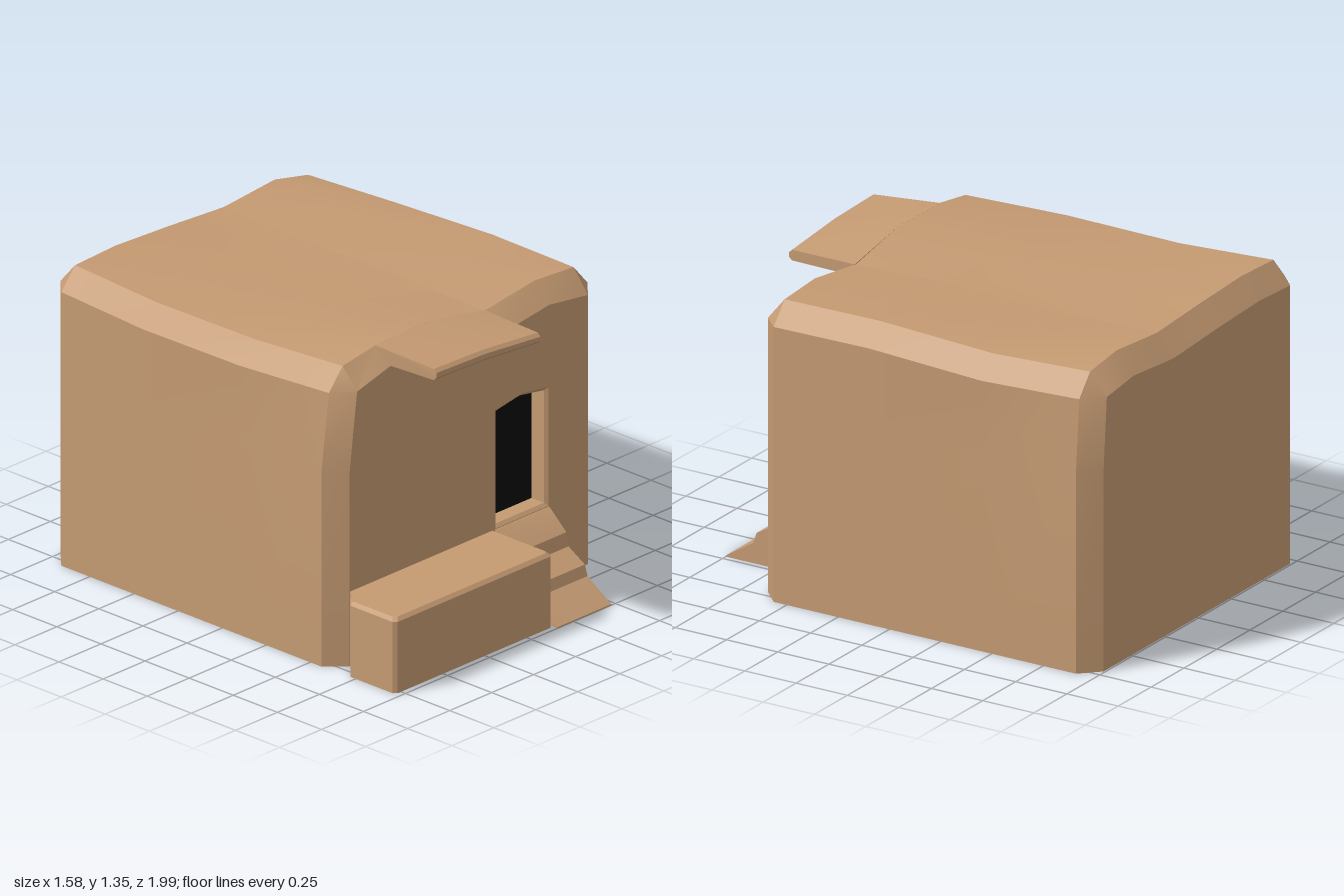
import * as THREE from 'three';
import { toCreasedNormals } from 'three/addons/utils/BufferGeometryUtils.js';

const clay = new THREE.MeshStandardMaterial({ color: 0xc49a72 });
clay.name = 'clay';
const dark = new THREE.MeshStandardMaterial({ color: 0x0b0b0b });
dark.name = 'doorway black';

const FRONT = 0.645, IN = 0.082, SPRING = 0.87;

// Collects triangles and drops collapsed ones
function triangleBag() {
  const pos = [];
  const tri = (a, b, c) => {
    const [A, B, C] = [a, b, c].map(p => new THREE.Vector3(...p));
    if (B.clone().sub(A).cross(C.clone().sub(A)).length() > 1e-8) pos.push(...a, ...b, ...c);
  };
  const quad = (a, b, c, d) => { tri(a, b, c); tri(a, c, d); };
  const fan = ring => { for (let i = 1; i < ring.length - 1; i++) tri(ring[0], ring[i], ring[i + 1]); };
  const build = () => {
    const g = new THREE.BufferGeometry();
    g.setAttribute('position', new THREE.Float32BufferAttribute(pos, 3));
    return toCreasedNormals(g, 0.5);
  };
  return { quad, fan, build };
}

// Skins closed rings of points, counter-clockwise about the direction of travel
function loft(rings, caps = true) {
  const bag = triangleBag();
  for (let k = 0; k < rings.length - 1; k++) {
    const r = rings[k], s = rings[k + 1], n = r.length;
    for (let i = 0; i < n; i++) {
      const j = (i + 1) % n;
      bag.quad(r[i], r[j], s[j], s[i]);
    }
  }
  if (caps) {
    const first = rings[0];
    bag.fan([first[0], ...first.slice(1).reverse()]);
    bag.fan(rings[rings.length - 1]);
  }
  return bag.build();
}

const shapeOf = pts => new THREE.Shape(pts.map(p => new THREE.Vector2(p[0], p[1])));

// Roof grid: heights by row (back to front) and column (x)
const XS = [-0.71, -0.47, -0.15, 0.17, 0.18, 0.48, 0.71];
const ZS = [-0.91, -0.45, 0.1, 0.563];
const ROOF = [
  [1.325, 1.335, 1.32, 1.3, 1.3, 1.325, 1.29],
  [1.3, 1.3, 1.295, 1.29, 1.29, 1.295, 1.29],
  [1.305, 1.31, 1.31, 1.3, 1.3, 1.315, 1.315],
  [1.31, 1.34, 1.345, 1.285, 1.285, 1.325, 1.31],
];
const FRONT_EAVE = [1.22, 1.27, 1.265, 1.235, 1.2, 1.24, 1.21];

// Two opposite corners lean inward towards the top
function lean([x, y, z]) {
  if (x < -0.6 && z > 0.5) return [x + 0.045, y, z];
  if (x > 0.6 && z < -0.85) return [x - 0.045, y, z + 0.012];
  return [x, y, z];
}
const roofPoint = (i, j) => lean([XS[i], ROOF[j][i], ZS[j]]);

function createBody() {
  const body = new THREE.Group();
  body.name = 'houseBody';
  const nx = XS.length - 1, nz = ZS.length - 1;

  // Walk around the roof edge; each corner counts for both its sides
  const rim = [];
  for (let i = 0; i <= nx; i++) rim.push([i, nz, 0, 1]);
  for (let j = nz; j >= 0; j--) rim.push([nx, j, 1, 0]);
  for (let i = nx; i >= 0; i--) rim.push([i, 0, 0, -1]);
  for (let j = 0; j <= nz; j++) rim.push([0, j, -1, 0]);

  const wallAt = y => rim.map(([i, j, dx, dz]) => [XS[i] + dx * IN, y, ZS[j] + dz * IN]);
  const base = wallAt(0), spring = wallAt(SPRING);
  const eave = wallAt(0).map((p, k) => {
    const [i, j, , dz] = rim[k];
    return lean([p[0], dz === 1 ? FRONT_EAVE[i] : ROOF[j][i] - 0.095, p[2]]);
  });
  const edge = rim.map(([i, j]) => roofPoint(i, j));

  // Side and back walls, corner chamfers and sloped eaves
  const walls = triangleBag();
  for (let k = 0; k < rim.length; k++) {
    const n = (k + 1) % rim.length;
    if (k >= nx) {
      walls.quad(base[k], base[n], spring[n], spring[k]);
      walls.quad(spring[k], spring[n], eave[n], eave[k]);
    }
    walls.quad(eave[k], eave[n], edge[n], edge[k]);
  }
  walls.fan(base.slice().reverse());
  const wallMesh = new THREE.Mesh(walls.build(), clay);
  wallMesh.name = 'walls';

  // Gently wavy roof
  const roof = triangleBag();
  for (let j = 0; j < nz; j++) for (let i = 0; i < nx; i++) {
    roof.quad(roofPoint(i, j), roofPoint(i, j + 1), roofPoint(i + 1, j + 1), roofPoint(i + 1, j));
  }
  const roofMesh = new THREE.Mesh(roof.build(), clay);
  roofMesh.name = 'roof';

  // Front wall with the doorway cut out
  const outline = [[XS[0], 0], [XS[nx], 0], ...eave.slice(0, nx + 1).reverse(), [XS[0], SPRING]];
  const face = shapeOf(outline);
  face.holes.push(shapeOf(doorOutline(0)));
  const front = new THREE.Mesh(new THREE.ShapeGeometry(face), clay);
  front.name = 'frontWall';
  front.position.z = FRONT;

  body.add(wallMesh, roofMesh, front);
  return body;
}

// Door opening with a shallow peak, shrunk by d
function doorOutline(d) {
  return [[0.16 + d, 0.338 + d], [0.476 - d, 0.338 + d], [0.476 - d, 0.872 - d],
    [0.317, 0.895 - d], [0.16 + d, 0.872 - d]];
}

function createDoorway() {
  const door = new THREE.Group();
  door.name = 'doorway';
  const ring = (d, z) => doorOutline(d).map(([x, y]) => [x, y, z]);
  const jamb = new THREE.Mesh(loft([ring(0, FRONT), ring(0.014, FRONT - 0.014), ring(0.014, 0.56)], false), clay);
  jamb.name = 'doorFrame';
  const panel = new THREE.Mesh(new THREE.ShapeGeometry(shapeOf(doorOutline(0.014))), dark);
  panel.name = 'doorOpening';
  panel.position.z = 0.561;
  door.add(jamb, panel);
  return door;
}

function createBench() {
  // Footprint follows the wall chamfer at the back corner
  const ring = (y, d) => [
    [-0.785 + d, 0.96 - d], [-0.77 + d, 0.975 - d], [0.14 - d, 0.975 - d], [0.155 - d, 0.96 - d],
    [0.155 - d, FRONT], [-0.706, FRONT], [-0.785 + d, 0.722],
  ].map(([x, z]) => [x, y, z]);
  const bench = new THREE.Mesh(loft([ring(0, 0), ring(0.32, 0), ring(0.335, 0.015)]), clay);
  bench.name = 'bench';
  return bench;
}

function createSteps() {
  // Worn step profile as [z, y]
  const profile = [[0.64, 0], [0.64, 0.338], [0.655, 0.33], [0.745, 0.25], [0.757, 0.19],
    [0.85, 0.137], [0.865, 0.09], [1.0, 0.005], [1.0, 0]];
  const steps = new THREE.Mesh(loft([0.156, 0.476].map(x => profile.map(([z, y]) => [x, y, z]))), clay);
  steps.name = 'steps';
  return steps;
}

function createAwning() {
  // Sections across x: [x at wall, x at tip, top at wall, top at tip, underside]
  const rings = [
    [-0.47, -0.445, 1.34, 1.32, 1.27],
    [-0.15, -0.15, 1.345, 1.312, 1.262],
    [0.182, 0.175, 1.287, 1.283, 1.236],
  ].map(([x0, x1, t0, t1, b]) => [
    [x0, t0, 0.56], [x1, t1, 0.87], [x1, t1 - 0.014, 0.885],
    [x1, b + 0.014, 0.885], [x1, b, 0.87], [x0, b, 0.56],
  ]);
  const awning = new THREE.Mesh(loft(rings), clay);
  awning.name = 'awning';
  return awning;
}

export function createModel() {
  const house = new THREE.Group();
  house.name = 'clayHouse';
  house.add(createBody(), createDoorway(), createBench(), createSteps(), createAwning());
  return house;
}
